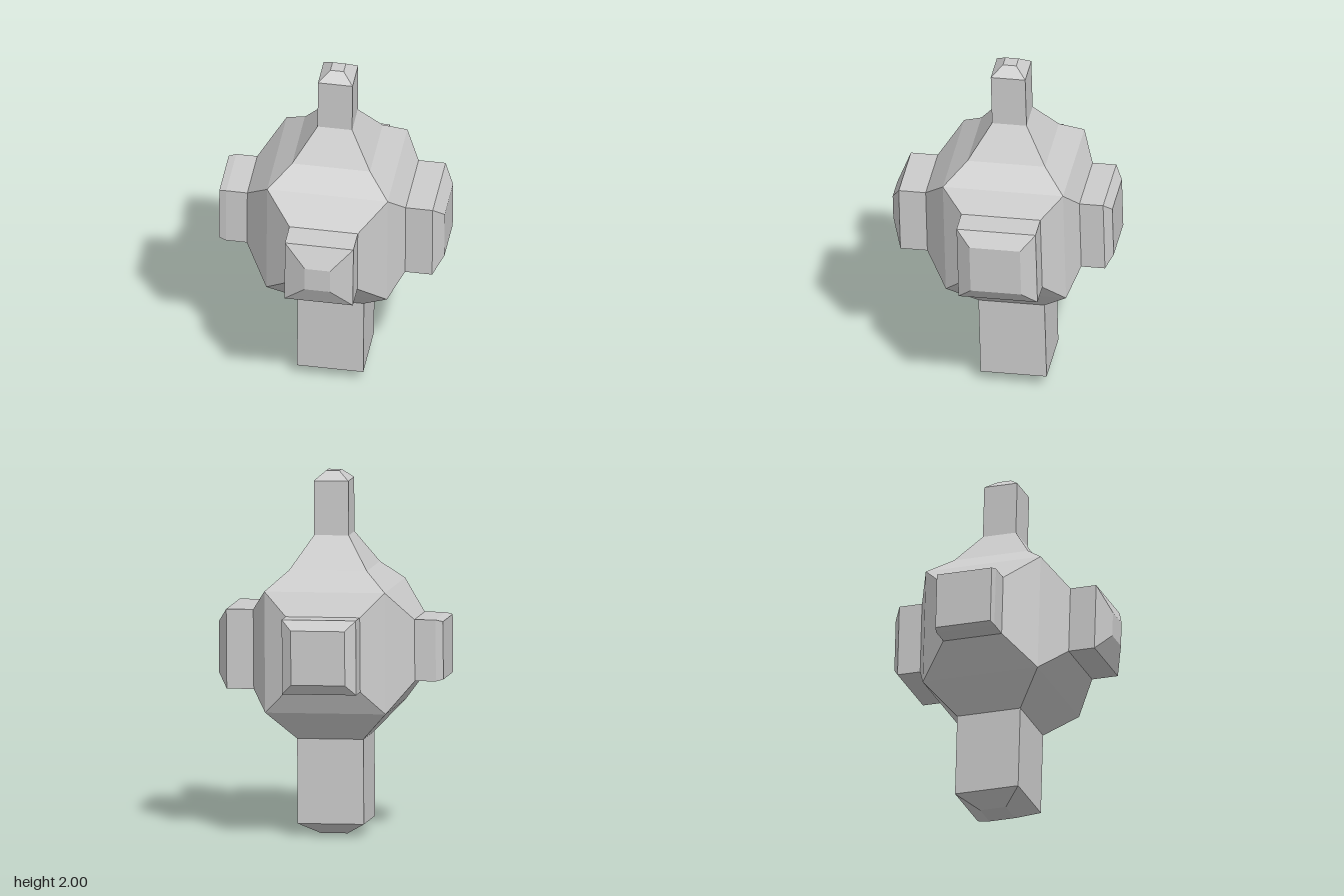
import * as THREE from 'three';

const CORE = 0.335; // half size of the cube every limb grows from

// Square loft along +y from rings of [distance from centre, half width]
function squareLoft(rings) {
  const profile = rings.map(([d, half]) => new THREE.Vector2(half * Math.SQRT2, d));
  profile.push(new THREE.Vector2(0, rings[rings.length - 1][0])); // end cap
  return new THREE.LatheGeometry(profile, 4, Math.PI / 4);
}

export function createModel() {
  const material = new THREE.MeshStandardMaterial({ color: 0xcccccc, flatShading: true });
  const q = Math.PI / 2;

  // name, rotation x, rotation z, rings after the core: shoulder, straight block, chamfered tip
  const limbs = [
    ['topSpire', 0, 0, [[0.44, 0.216], [0.62, 0.096], [0.92, 0.096], [0.97, 0.037]]],
    ['bottomPost', 2 * q, 0, [[0.495, 0.184], [0.965, 0.184], [1.03, 0.075]]],
    ['frontArm', q, 0, [[0.46, 0.19], [0.61, 0.19], [0.668, 0.07]]],
    ['backArm', -q, 0, [[0.4, 0.206], [0.532, 0.206], [0.572, 0.15]]],
    ['leftArm', 0, -q, [[0.417, 0.22], [0.567, 0.22], [0.622, 0.141]]],
    ['rightArm', 0, q, [[0.471, 0.17], [0.588, 0.17], [0.628, 0.16]]],
  ];

  // Whole body turned about y
  const body = new THREE.Group();
  body.name = 'body';
  body.rotation.y = 0.44;
  for (const [name, rx, rz, rings] of limbs) {
    const limb = new THREE.Mesh(squareLoft([[CORE, CORE], ...rings]), material);
    limb.name = name;
    limb.rotation.set(rx, 0, rz);
    body.add(limb);
  }

  // Slight lean around the core centre
  const lean = new THREE.Group();
  lean.name = 'leaningBody';
  lean.position.set(0.008, 1.03, -0.03);
  lean.rotation.set(0.016, 0, -0.02);
  lean.add(body);

  const model = new THREE.Group();
  model.name = 'sixArmedBlock';
  model.add(lean);
  return model;
}
